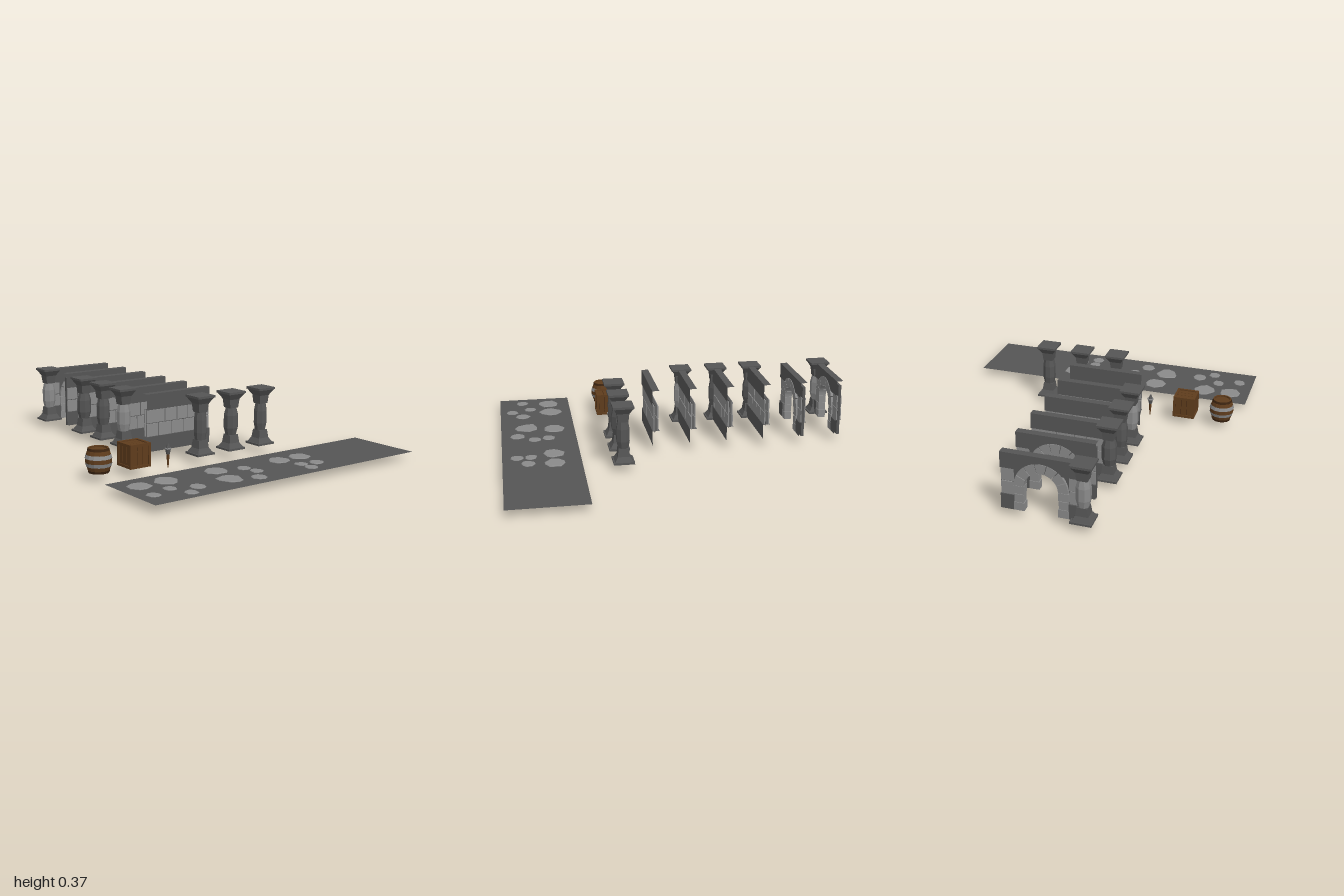
import * as THREE from 'three';

const mat = (color, side = THREE.FrontSide) => {
  const m = new THREE.MeshStandardMaterial({ flatShading: true, side });
  m.color.set(color);
  return m;
};
const DARK = mat(0x555555), STONE = mat(0x8a8a8a), WOOD = mat(0x5f3c1c), DARKWOOD = mat(0x3c2410), IRON = mat(0x8c8c8c);
const FLOOR = mat(0x555555, THREE.DoubleSide);
const BASE = 0.043, TILE = 0.43;

let seed = 7;
const rand = () => (seed = (seed * 16807) % 2147483647) / 2147483647;

function add(parent, name, geo, material, x = 0, y = 0, z = 0) {
  const mesh = new THREE.Mesh(geo, material);
  mesh.name = name;
  mesh.position.set(x, y, z);
  parent.add(mesh);
  return mesh;
}
function group(parent, name, x = 0, z = 0) {
  const g = new THREE.Group();
  g.name = name;
  g.position.set(x, 0, z);
  parent.add(g);
  return g;
}
const box = (w, h, d) => new THREE.BoxGeometry(w, h, d);

// Box without its two x ends, so wall tiles can join side by side
function openBox(w, h, d) {
  const g = box(w, h, d);
  g.setIndex(Array.from(g.index.array).slice(12));
  return g;
}

// Tapered prism; widths are measured across the flats
function taper(w0, w1, h, sides) {
  const k = 0.5 / Math.cos(Math.PI / sides);
  return new THREE.CylinderGeometry(w1 * k, w0 * k, h, sides).rotateY(Math.PI / sides);
}

function pillar(parent, x, z, shaft, bulge) {
  const g = group(parent, 'pillar', x, z);
  const parts = [
    ['basePlate', BASE, 0.054, 0.115, 0.115, 4, DARK],
    ['baseFlare', 0.054, 0.08, 0.1, 0.068, 4, DARK],
    ['lowerBlock', 0.08, 0.125, 0.068, 0.056, 4, DARK],
    ['lowerShaft', 0.125, 0.165, 0.056, bulge, 8, shaft],
    ['middleShaft', 0.165, 0.235, bulge, bulge, 8, shaft],
    ['upperShaft', 0.235, 0.277, bulge, 0.056, 8, shaft],
    ['upperBlock', 0.277, 0.325, 0.056, 0.066, 4, DARK],
    ['capFlare', 0.325, 0.358, 0.066, 0.108, 4, DARK],
    ['capPlate', 0.358, 0.37, 0.115, 0.115, 4, DARK],
  ];
  for (const [name, y0, y1, w0, w1, sides, m] of parts)
    add(g, name, taper(w0, w1, y1 - y0, sides), m, 0, (y0 + y1) / 2);
}

// Facing bricks on both sides of a wall between x0 and x1
function brickRows(g, x0, x1, count) {
  [0.163, 0.239].forEach((y, row) => {
    const edges = [x0];
    for (let i = 1; i < count; i++)
      edges.push(x0 + (x1 - x0) * (i + (row ? 0.3 : -0.15) + (rand() - 0.5) * 0.3) / count);
    edges.push(x1);
    for (let i = 0; i < count; i++) {
      const w = edges[i + 1] - edges[i] - 0.005;
      for (const s of [1, -1])
        add(g, 'brick', box(w, 0.071, 0.007), STONE, (edges[i] + edges[i + 1]) / 2, y, s * (0.009 + rand() * 0.003));
    }
  });
}

function wall(parent, z) {
  const g = group(parent, 'wall', -0.11, z);
  add(g, 'wallCore', openBox(TILE, 0.16, 0.016), DARK, 0, 0.2);
  add(g, 'topBand', openBox(TILE, 0.088, 0.04), DARK, 0, 0.321);
  add(g, 'bottomBand', openBox(TILE, 0.084, 0.04), DARK, 0, BASE + 0.042);
  brickRows(g, -TILE / 2, TILE / 2, 5);
}

function archWall(parent, z) {
  const g = group(parent, 'archWall', -0.11, z);
  const rIn = 0.09, rOut = 0.143, spring = 0.185, half = TILE / 2;
  // Core with the doorway cut out
  const s = new THREE.Shape();
  s.moveTo(-half, BASE);
  s.lineTo(-rOut + 0.02, BASE);
  s.lineTo(-rOut + 0.02, spring);
  s.absarc(0, spring, rOut - 0.02, Math.PI, 0, true);
  s.lineTo(rOut - 0.02, BASE);
  s.lineTo(half, BASE);
  s.lineTo(half, 0.34);
  s.lineTo(-half, 0.34);
  const core = new THREE.ExtrudeGeometry(s, { depth: 0.016, bevelEnabled: false, curveSegments: 10 });
  add(g, 'wallCore', core, DARK, 0, 0, -0.008);
  add(g, 'topBand', openBox(TILE, 0.088, 0.04), DARK, 0, 0.321);
  // Voussoirs
  const n = 7;
  for (let i = 0; i < n; i++) {
    const a = Math.PI * i / n + 0.015, b = Math.PI * (i + 1) / n - 0.015;
    const v = new THREE.Shape();
    v.absarc(0, 0, rOut, a, b, false);
    v.absarc(0, 0, rIn, b, a, true);
    const geo = new THREE.ExtrudeGeometry(v, { depth: 0.046, bevelEnabled: false, curveSegments: 2 });
    add(g, 'archStone', geo, STONE, 0, spring, -0.023);
  }
  // Jamb stones and the wall beside the doorway
  for (const side of [-1, 1]) {
    for (let i = 0; i < 3; i++)
      add(g, 'jambStone', box(i % 2 ? 0.048 : 0.055, 0.045, 0.042), STONE,
        side * (rIn + 0.027), BASE + 0.0235 + i * 0.0475);
    add(g, 'bottomBand', openBox(half - rOut, 0.084, 0.04), DARK, side * (half + rOut) / 2, BASE + 0.042);
    brickRows(g, Math.min(side * half, side * rOut), Math.max(side * half, side * rOut), 1);
  }
}

function barrel(parent, x, z) {
  const g = group(parent, 'barrel', x, z);
  const pts = [[0, BASE], [0.053, BASE], [0.062, 0.071], [0.069, 0.095], [0.069, 0.119], [0.062, 0.143],
    [0.053, 0.171], [0.045, 0.171], [0.045, 0.162], [0, 0.162]].map(p => new THREE.Vector2(...p));
  add(g, 'staves', new THREE.LatheGeometry(pts, 14), WOOD);
  for (const s of [-1, 1]) {
    const hoop = new THREE.CylinderGeometry(s > 0 ? 0.065 : 0.071, s > 0 ? 0.071 : 0.065, 0.02, 14, 1, true);
    add(g, 'hoop', hoop, IRON, 0, 0.107 + s * 0.021);
    const rim = new THREE.CylinderGeometry(s > 0 ? 0.054 : 0.058, s > 0 ? 0.058 : 0.054, 0.013, 14, 1, true);
    add(g, 'rim', rim, DARKWOOD, 0, 0.107 + s * 0.058);
  }
}

function crate(parent, x, z) {
  const g = group(parent, 'crate', x, z);
  const size = 0.127, c = BASE + size / 2, t = 0.014, e = size / 2 - t / 2;
  add(g, 'inside', box(0.108, 0.108, 0.108), DARKWOOD, 0, c);
  for (const a of [-1, 1]) for (const b of [-1, 1]) {
    add(g, 'cornerPost', box(t, size, t), WOOD, a * e, c, b * e);
    add(g, 'frameRailX', box(size - 2 * t, t, t), WOOD, 0, c + a * e, b * e);
    add(g, 'frameRailZ', box(t, t, size - 2 * t), WOOD, a * e, c + b * e, 0);
  }
  // Three planks on every face
  for (const s of [-1, 1]) for (const i of [-1, 0, 1]) {
    add(g, 'plank', box(0.03, 0.1, 0.004), WOOD, i * 0.033, c, s * 0.056);
    add(g, 'plank', box(0.004, 0.1, 0.03), WOOD, s * 0.056, c, i * 0.033);
    add(g, 'plank', box(0.1, 0.004, 0.03), WOOD, 0, c + s * 0.056, i * 0.033);
  }
}

function torch(parent, x, z) {
  const g = group(parent, 'torch', x, z);
  add(g, 'handle', new THREE.CylinderGeometry(0.009, 0.003, 0.072, 6), WOOD, 0, 0.036);
  add(g, 'cup', new THREE.CylinderGeometry(0.017, 0.009, 0.032, 8), DARK, 0, 0.088);
  add(g, 'cupRim', new THREE.CylinderGeometry(0.018, 0.018, 0.007, 8), IRON, 0, 0.104);
  add(g, 'head', new THREE.CylinderGeometry(0.004, 0.014, 0.024, 6), DARK, 0, 0.119);
}

function pavement(parent) {
  const g = group(parent, 'floor', 0, 0.785);
  add(g, 'floorSheet', new THREE.PlaneGeometry(4 * TILE, TILE).rotateX(-Math.PI / 2), FLOOR, 0, BASE);
  // Cobbles: x, z, radius
  const cobbles = [[-0.743, 0.698, 0.064], [-0.583, 0.693, 0.068], [-0.775, 0.862, 0.037], [-0.648, 0.817, 0.037],
    [-0.52, 0.864, 0.044], [-0.606, 0.928, 0.037], [-0.267, 0.693, 0.066], [-0.12, 0.73, 0.037],
    [-0.31, 0.85, 0.068], [-0.1, 0.812, 0.037], [-0.167, 0.907, 0.043], [0.135, 0.717, 0.062],
    [0.277, 0.717, 0.064], [0.177, 0.844, 0.036], [0.272, 0.86, 0.043], [0.177, 0.919, 0.037]];
  for (const [x, z, r] of cobbles) {
    const s = new THREE.Shape(), turn = rand() * 6;
    for (let i = 0; i < 8; i++) {
      const a = (i + rand() * 0.5) * Math.PI / 4 + turn, d = r * (0.86 + rand() * 0.2) - 0.004;
      s[i ? 'lineTo' : 'moveTo'](Math.cos(a) * d, Math.sin(a) * d);
    }
    const geo = new THREE.ExtrudeGeometry(s, { depth: 0.004, bevelThickness: 0.003, bevelSize: 0.004, bevelSegments: 1 });
    add(g, 'cobble', geo.rotateX(-Math.PI / 2), STONE, x, BASE - 0.002, z - 0.785);
  }
}

export function createModel() {
  const model = new THREE.Group();
  model.name = 'dungeonKit';
  pavement(model);

  // Props and free-standing pillars
  barrel(model, -0.757, 0.349);
  crate(model, -0.542, 0.349);
  torch(model, -0.325, 0.349);
  [0.066, 0.076, 0.07].forEach((w, i) => pillar(model, -0.11 + i * 0.214, 0.349, DARK, w));

  // Wall tiles from front to back, some with an end pillar
  const end = -0.325;
  wall(model, 0.134);
  [STONE, DARK, DARK].forEach((m, i) => {
    const z = -0.081 - i * 0.215;
    wall(model, z);
    pillar(model, end, z, m, [0.072, 0.07, 0.076][i]);
  });
  archWall(model, -0.727);
  archWall(model, -0.942);
  pillar(model, end, -0.942, STONE, 0.073);
  return model;
}
